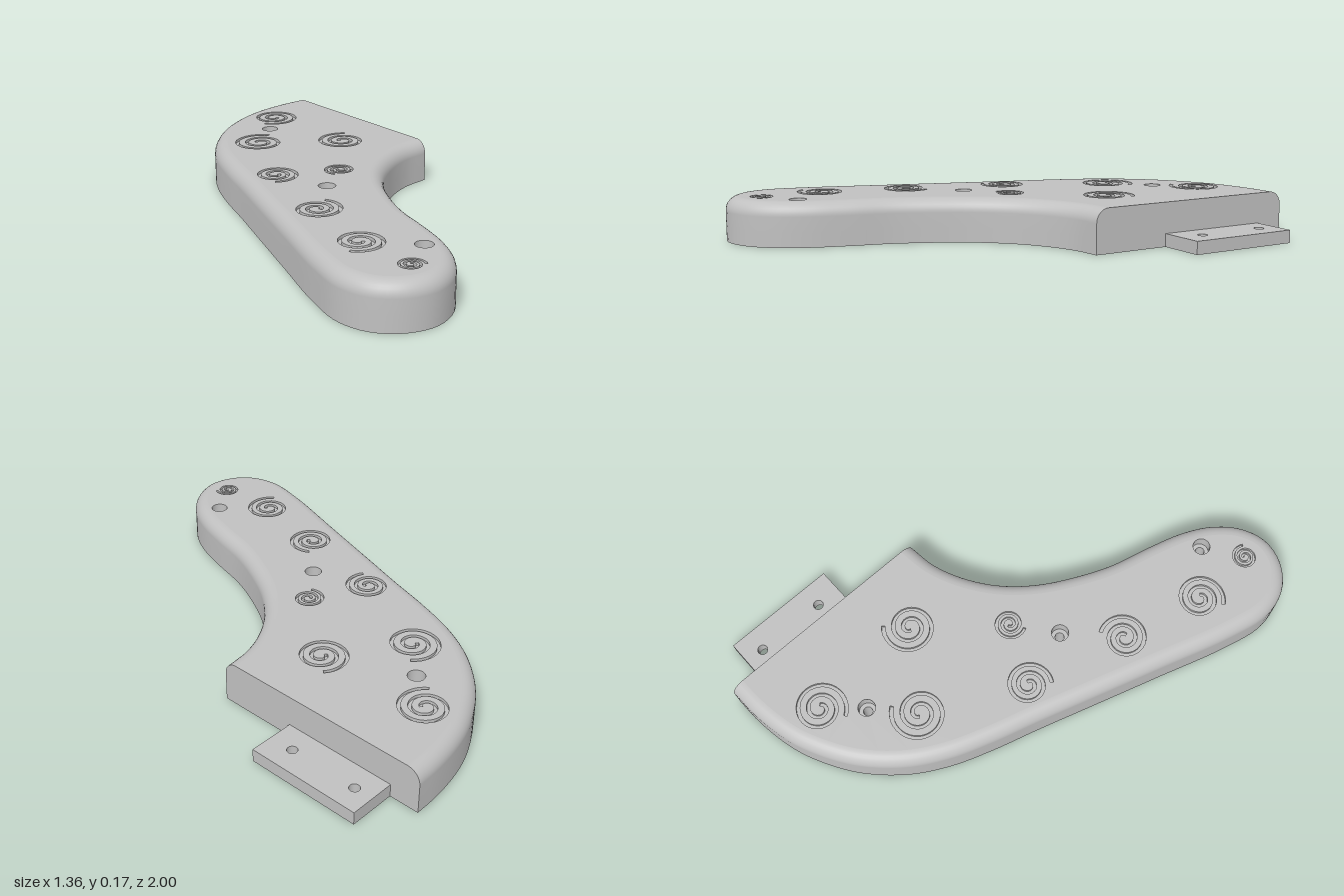
import * as THREE from 'three';

const H = 0.175, ROUND = 0.055, END_X = 0.49;
const grey = new THREE.MeshStandardMaterial({ color: 0xc0c0c0, side: THREE.DoubleSide });
grey.name = 'plain grey';

const v2 = (x, z) => new THREE.Vector2(x, z);
const at = (pts, y) => pts.map(p => new THREE.Vector3(p.x, y, p.y));

// Flat plan shape from (x, z) points; sign -1 faces up, +1 faces down
function planShape(pts, holes = [], sign = -1) {
  const turn = list => list.map(p => v2(p.x, sign * p.y));
  const shape = new THREE.Shape(turn(pts));
  holes.forEach(h => shape.holes.push(new THREE.Path(turn(h))));
  return shape;
}

function flat(pts, y, holes = [], sign = -1) {
  return new THREE.ShapeGeometry(planShape(pts, holes, sign)).rotateX(sign * Math.PI / 2).translate(0, y, 0);
}

// Surface through rows of points, rows ordered upward
function loft(rows, closed = false) {
  const grid = closed ? rows.map(r => [...r, r[0]]) : rows;
  const n = grid[0].length, index = [];
  for (let i = 0; i < grid.length - 1; i++) {
    for (let j = 0; j < n - 1; j++) {
      const a = i * n + j, c = a + n;
      index.push(a, a + 1, c + 1, a, c + 1, c);
    }
  }
  const g = new THREE.BufferGeometry().setFromPoints(grid.flat());
  g.setIndex(index);
  g.computeVertexNormals();
  return g;
}

function circle(x, z, r, n = 32) {
  return Array.from({ length: n }, (_, i) => {
    const a = i / n * Math.PI * 2;
    return v2(x + r * Math.cos(a), z + r * Math.sin(a));
  });
}

// Closed outline of a spiral groove
function spiral(x, z, r, start, dir, width = 0.014, turns = 2.3, n = 80) {
  const outer = [], inner = [];
  for (let i = 0; i <= n; i++) {
    const t = i / n, a = start - dir * (1 - t) * turns * Math.PI * 2;
    const rad = r * (0.14 + 0.86 * t), w = Math.min(width, r * 0.18) / 2;
    outer.push(v2(x + (rad + w) * Math.cos(a), z + (rad + w) * Math.sin(a)));
    inner.push(v2(x + (rad - w) * Math.cos(a), z + (rad - w) * Math.sin(a)));
  }
  const loop = [...outer, ...inner.reverse()];
  return THREE.ShapeUtils.area(loop) < 0 ? loop.reverse() : loop;
}

export function createModel() {
  const model = new THREE.Group();
  const add = (name, geometry, parent = model) => {
    const mesh = new THREE.Mesh(geometry, grey);
    mesh.name = name;
    parent.add(mesh);
  };

  // Curved plan edge, from the back corner round the tip to the inner corner
  const curve = new THREE.CatmullRomCurve3([
    [0.49, -1], [0.38, -0.996], [0.25, -0.976], [0.135, -0.94], [-0.04, -0.84], [-0.18, -0.7],
    [-0.27, -0.55], [-0.335, -0.38], [-0.39, -0.2], [-0.455, 0], [-0.552, 0.3], [-0.648, 0.6],
    [-0.68, 0.77], [-0.65, 0.89], [-0.57, 0.97], [-0.46, 1], [-0.35, 0.965], [-0.26, 0.88],
    [-0.2, 0.77], [-0.155, 0.63], [-0.11, 0.46], [-0.05, 0.32], [0.03, 0.18], [0.13, 0.065],
    [0.25, -0.02], [0.37, -0.07], [0.49, -0.087],
  ].map(([x, z]) => new THREE.Vector3(x, 0, z)));
  const N = 140;
  const inset = d => Array.from({ length: N + 1 }, (_, i) => {
    const p = curve.getPointAt(i / N), t = curve.getTangentAt(i / N);
    return v2(i % N ? Math.min(p.x + t.z * d, END_X) : END_X, p.z - t.x * d);
  });

  // Vertical side with a rounded upper edge, and the square end face
  const rows = [at(inset(0), 0), at(inset(0), 0.06)];
  for (let i = 0; i <= 8; i++) {
    const a = i / 8 * Math.PI / 2;
    rows.push(at(inset(ROUND * (1 - Math.cos(a))), H - ROUND + ROUND * Math.sin(a)));
  }
  add('roundedSide', loft(rows));
  add('squareEnd', loft(rows.map(r => [r[N], r[0]])));

  // Spiral grooves: x, z, radius, end angle, direction
  const spirals = [
    [-0.453, 0.871, 0.05, 0.6, 1], [-0.457, 0.61, 0.095, 2.6, 1], [-0.375, 0.272, 0.095, -0.6, -1],
    [-0.265, -0.136, 0.09, 2.2, 1], [-0.03, -0.023, 0.062, 2.6, -1], [-0.067, -0.523, 0.11, -0.6, 1],
    [0.203, -0.795, 0.105, 2.6, 1], [0.223, -0.323, 0.105, -0.8, 1],
  ].map(s => spiral(...s));
  const screws = [[0.083, -0.66], [-0.192, 0.098], [-0.305, 0.772]];
  const BORE = 0.034, HOLE = 0.018, STEP = H - 0.05, FLOOR = H - 0.012;

  add('topFace', flat(inset(ROUND), H, [...spirals, ...screws.map(([x, z]) => circle(x, z, BORE))]));
  add('bottomFace', flat(inset(0), 0, screws.map(([x, z]) => circle(x, z, HOLE)), 1));

  const grooves = new THREE.Group();
  grooves.name = 'spiralGrooves';
  model.add(grooves);
  for (const s of spirals) {
    add('grooveWall', loft([at(s, FLOOR), at(s, H)], true), grooves);
    add('grooveFloor', flat(s, FLOOR), grooves);
  }

  // Counterbored screw holes
  const bores = new THREE.Group();
  bores.name = 'screwHoles';
  model.add(bores);
  for (const [x, z] of screws) {
    const wide = circle(x, z, BORE), narrow = circle(x, z, HOLE);
    add('boreWall', loft([at(wide, STEP), at(wide, H)], true), bores);
    add('boreStep', flat(wide, STEP, [narrow]), bores);
    add('holeWall', loft([at(narrow, 0), at(narrow, STEP)], true), bores);
  }

  // Mounting tab with two holes
  const tab = planShape(
    [v2(END_X, -0.88), v2(0.678, -0.88), v2(0.678, -0.412), v2(END_X, -0.412)],
    [circle(0.585, -0.802, 0.02), circle(0.585, -0.515, 0.02)]);
  add('mountingTab', new THREE.ExtrudeGeometry(tab, { depth: 0.052, bevelEnabled: false }).rotateX(-Math.PI / 2));

  return model;
}
